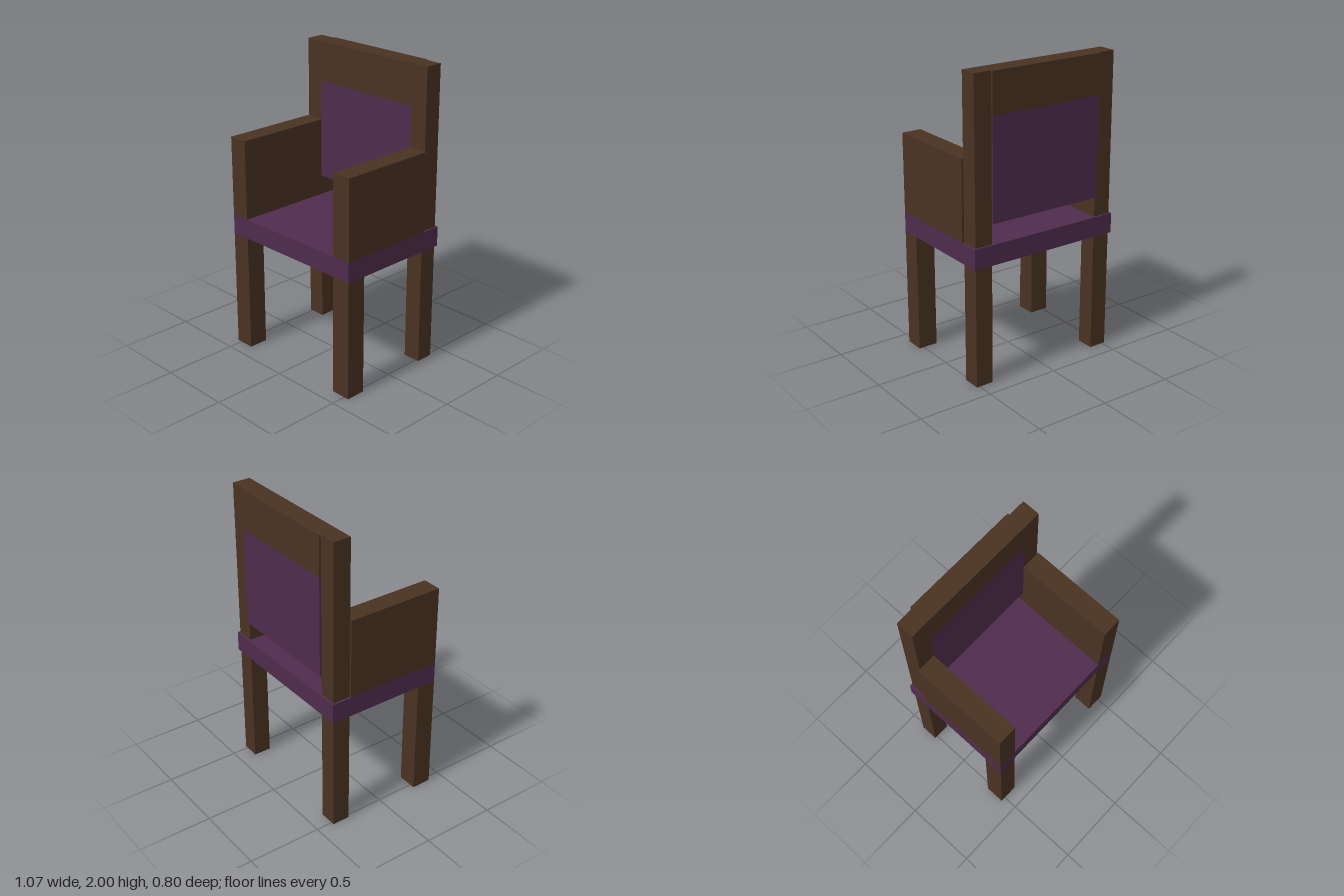
import * as THREE from 'three';

export function createModel() {
  const chair = new THREE.Group();
  chair.name = 'armchair';

  const wood = new THREE.MeshStandardMaterial({ color: 0x4a3322, side: THREE.DoubleSide });
  wood.name = 'dark brown wood';
  const fabric = new THREE.MeshStandardMaterial({ color: 0x4f2c4e });
  fabric.name = 'purple upholstery';

  // Box given by its minimum and maximum on each axis
  function block(name, material, [x0, x1], [y0, y1], [z0, z1], openBottom = false) {
    const geometry = new THREE.BoxGeometry(x1 - x0, y1 - y0, z1 - z0);
    if (openBottom) {
      // Drop the two triangles of the underside
      const index = Array.from(geometry.index.array);
      index.splice(18, 6);
      geometry.setIndex(index);
      geometry.clearGroups();
    }
    const mesh = new THREE.Mesh(geometry, material);
    mesh.name = name;
    mesh.position.set((x0 + x1) / 2, (y0 + y1) / 2, (z0 + z1) / 2);
    chair.add(mesh);
  }

  const seatY = [0.8, 0.933];
  const backFront = -0.267;

  // Seat and back rest
  block('seat', fabric, [-0.533, 0.533], seatY, [-0.4, 0.4]);
  block('backCushion', fabric, [-0.4, 0.4], [1.067, 1.733], [-0.4, backFront]);
  block('topRail', wood, [-0.4, 0.4], [1.733, 2], [-0.4, backFront]);

  // Hollow legs, arm panels and back posts on both sides
  for (const [side, s] of [['left', 1], ['right', -1]]) {
    const span = (outer) => (s > 0 ? [0.4, outer] : [-outer, -0.4]);
    block(`${side}FrontLeg`, wood, span(0.533), [0, seatY[0]], [0.267, 0.4], true);
    block(`${side}BackLeg`, wood, span(0.52), [0, seatY[0]], [-0.387, backFront], true);
    block(`${side}BackPost`, wood, span(0.52), [seatY[1], 2], [-0.387, backFront]);
    block(`${side}Arm`, wood, span(0.533), [seatY[1], 1.467], [backFront, 0.4]);
  }

  return chair;
}
